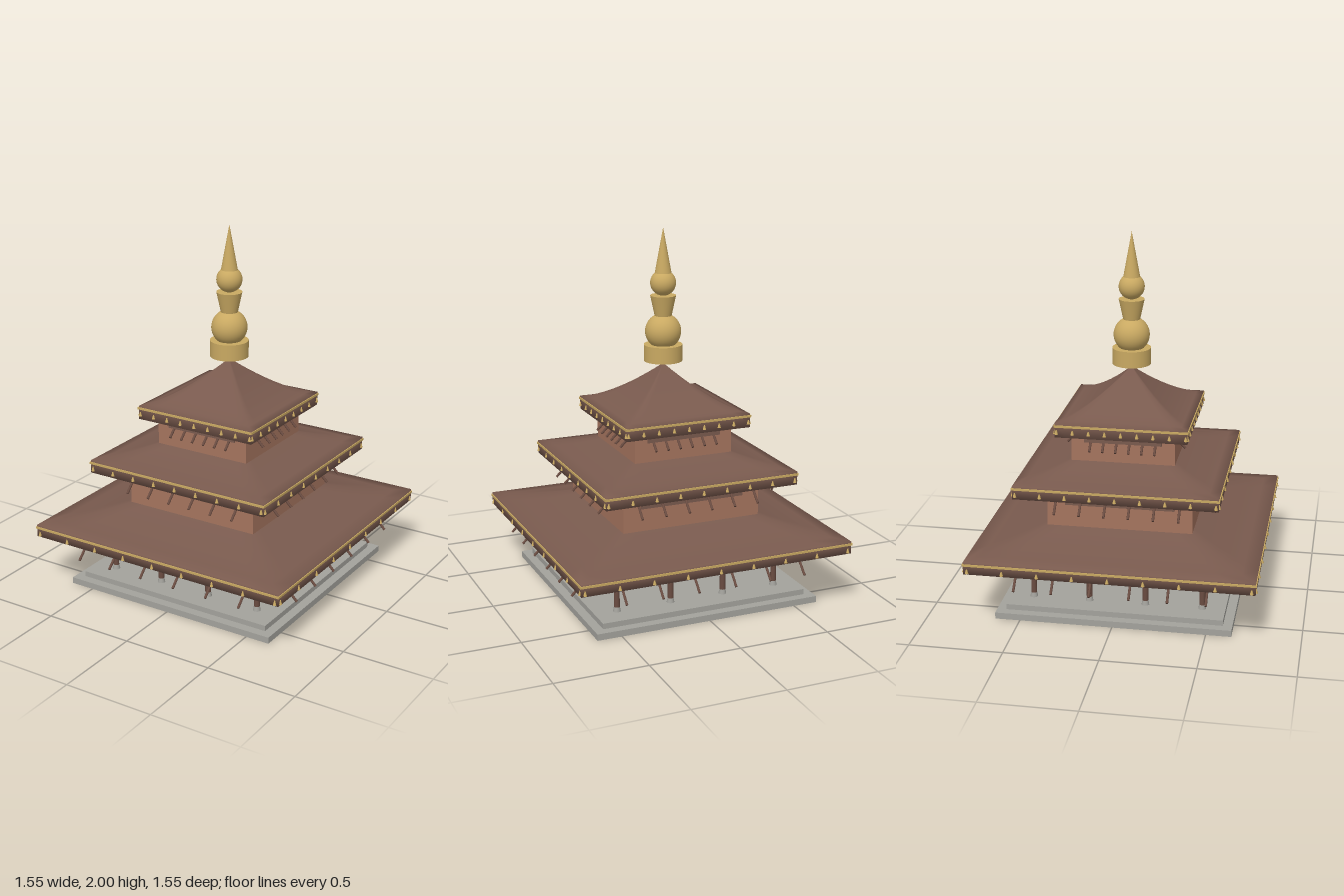
import * as THREE from 'three';

const mat = (name, color, side = THREE.FrontSide) => {
  const m = new THREE.MeshStandardMaterial({ color, side });
  m.name = name;
  return m;
};

export function createModel() {
  const model = new THREE.Group();
  model.name = 'pagoda';
  const roofBrown = mat('roof brown', 0x795a4e);
  const wood = mat('dark wood', 0x6a4c41);
  const brick = mat('brick', 0xa5745e);
  const gold = mat('gold', 0xc9a962);
  const stone = mat('stone grey', 0xa3a29c);

  const add = (parent, name, geometry, material, x = 0, y = 0, z = 0) => {
    const m = new THREE.Mesh(geometry, material);
    m.name = name;
    m.position.set(x, y, z);
    parent.add(m);
    return m;
  };
  // Square block given by half width and its bottom and top heights
  const block = (parent, name, half, y0, y1, material) =>
    add(parent, name, new THREE.BoxGeometry(half * 2, y1 - y0, half * 2), material, 0, (y0 + y1) / 2, 0);
  const cyl = (rTop, rBottom, h, n) => new THREE.CylinderGeometry(rTop, rBottom, h, n);

  // Smooth loft through square rings [half width, y], listed from top to bottom
  function squareLoft(rings, n = 10) {
    const corners = [[1, 1], [1, -1], [-1, -1], [-1, 1]];
    const pos = [], index = [], count = 4 * n;
    for (const [half, y] of rings) {
      for (let k = 0; k < count; k++) {
        const a = corners[Math.floor(k / n)], b = corners[(Math.floor(k / n) + 1) % 4], t = (k % n) / n;
        pos.push(half * (a[0] + (b[0] - a[0]) * t), y, half * (a[1] + (b[1] - a[1]) * t));
      }
    }
    for (let r = 0; r < rings.length - 1; r++) {
      for (let k = 0; k < count; k++) {
        const k2 = (k + 1) % count;
        const u = r * count + k, u2 = r * count + k2, l = u + count, l2 = u2 + count;
        index.push(l, l2, u, l2, u2, u);
      }
    }
    const g = new THREE.BufferGeometry();
    g.setAttribute('position', new THREE.Float32BufferAttribute(pos, 3));
    g.setIndex(index);
    g.computeVertexNormals();
    return g;
  }

  // Stepped stone base
  block(model, 'lowerPlinth', 0.635, 0, 0.035, stone);
  block(model, 'upperPlinth', 0.585, 0.035, 0.065, stone);

  // Ground floor: open colonnade around a small shrine room
  block(model, 'shrineRoom', 0.1, 0.065, 0.235, brick);
  const spots = [-0.46, -0.153, 0.153, 0.46];
  for (const x of spots) {
    for (const z of spots) {
      if (Math.abs(x) < 0.4 && Math.abs(z) < 0.4) continue;
      add(model, 'column', cyl(0.014, 0.016, 0.26, 12), wood, x, 0.195, z);
      add(model, 'columnFoot', cyl(0.016, 0.021, 0.025, 12), stone, x, 0.0775, z);
    }
  }

  // Upper walls
  block(model, 'middleWalls', 0.393, 0.42, 0.68, brick);
  block(model, 'upperWalls', 0.28, 0.77, 0.97, brick);

  // Roof tiers with gold trim, bells, struts and wall panels
  const tiers = [
    { half: 0.765, y0: 0.31, y1: 0.378, rise: 0.25, trim: 0.362, bells: 0.328,
      strutX: [0.105, 0.307, 0.508], out: 0.728, low: 0.212, len: 0.16 },
    { half: 0.547, y0: 0.66, y1: 0.732, rise: 0.2, trim: 0.717, bells: 0.685,
      strutX: [0.065, 0.198, 0.332], out: 0.512, low: 0.572, len: 0.15,
      panel: { half: 0.295, z: 0.393, y0: 0.587, y1: 0.67 } },
    { half: 0.355, y0: 0.95, y1: 1.025, rise: 0.235, trim: 1.012, bells: 0.98,
      strutX: [0.035, 0.105, 0.175], out: 0.323, low: 0.867, len: 0.13,
      panel: { half: 0.21, z: 0.28, y0: 0.907, y1: 0.96 } },
  ];
  tiers.forEach((t, i) => {
    const tier = new THREE.Group();
    tier.name = 'roofTier' + (i + 1);
    model.add(tier);

    // Concave hipped roof with a closed underside
    const rings = [];
    for (let s = 0; s <= 10; s++) {
      const f = s / 10;
      rings.push([t.half * f, t.y1 + t.rise * Math.pow(1 - f, 1.5)]);
    }
    rings.push([t.half, t.y0], [t.half * 0.85, t.y0], [0, t.y0]);
    add(tier, 'roof', squareLoft(rings), roofBrown);

    for (let s = 0; s < 4; s++) {
      const side = new THREE.Group();
      side.name = 'roofSide';
      side.rotation.y = s * Math.PI / 2;
      tier.add(side);

      add(side, 'eaveTrim', new THREE.BoxGeometry(t.half * 2 + 0.01, 0.012, 0.01), gold, 0, t.trim, t.half);
      for (let k = -4; k <= 4; k++) {
        add(side, 'bell', cyl(0.003, 0.01, 0.024, 8), gold, k * t.half * 0.2435, t.bells, t.half);
      }
      // Slanted struts, lower end outwards
      const d = t.len / 2 * Math.SQRT1_2;
      for (const sx of t.strutX) {
        for (const x of [-sx, sx]) {
          const strut = add(side, 'strut', cyl(0.007, 0.007, t.len, 8), wood, x, t.low + d, t.out - d);
          strut.rotation.x = -Math.PI / 4;
        }
      }
      if (t.panel) {
        const p = t.panel;
        add(side, 'wallPanel', new THREE.BoxGeometry(p.half * 2, p.y1 - p.y0, 0.009), roofBrown,
          0, (p.y0 + p.y1) / 2, p.z + 0.004);
      }
    }
  });

  // Golden finial
  const finial = new THREE.Group();
  finial.name = 'finial';
  model.add(finial);
  add(finial, 'finialDrum', cyl(0.105, 0.105, 0.09, 32), gold, 0, 1.32, 0);
  add(finial, 'largeOrb', new THREE.SphereGeometry(0.098, 32, 20), gold, 0, 1.437, 0);
  add(finial, 'flaredNeck', cyl(0.07, 0.046, 0.112, 32), gold, 0, 1.578, 0);
  add(finial, 'smallOrb', new THREE.SphereGeometry(0.07, 32, 20), gold, 0, 1.702, 0);
  add(finial, 'spire', new THREE.ConeGeometry(0.046, 0.25, 32), gold, 0, 1.875, 0);

  return model;
}
